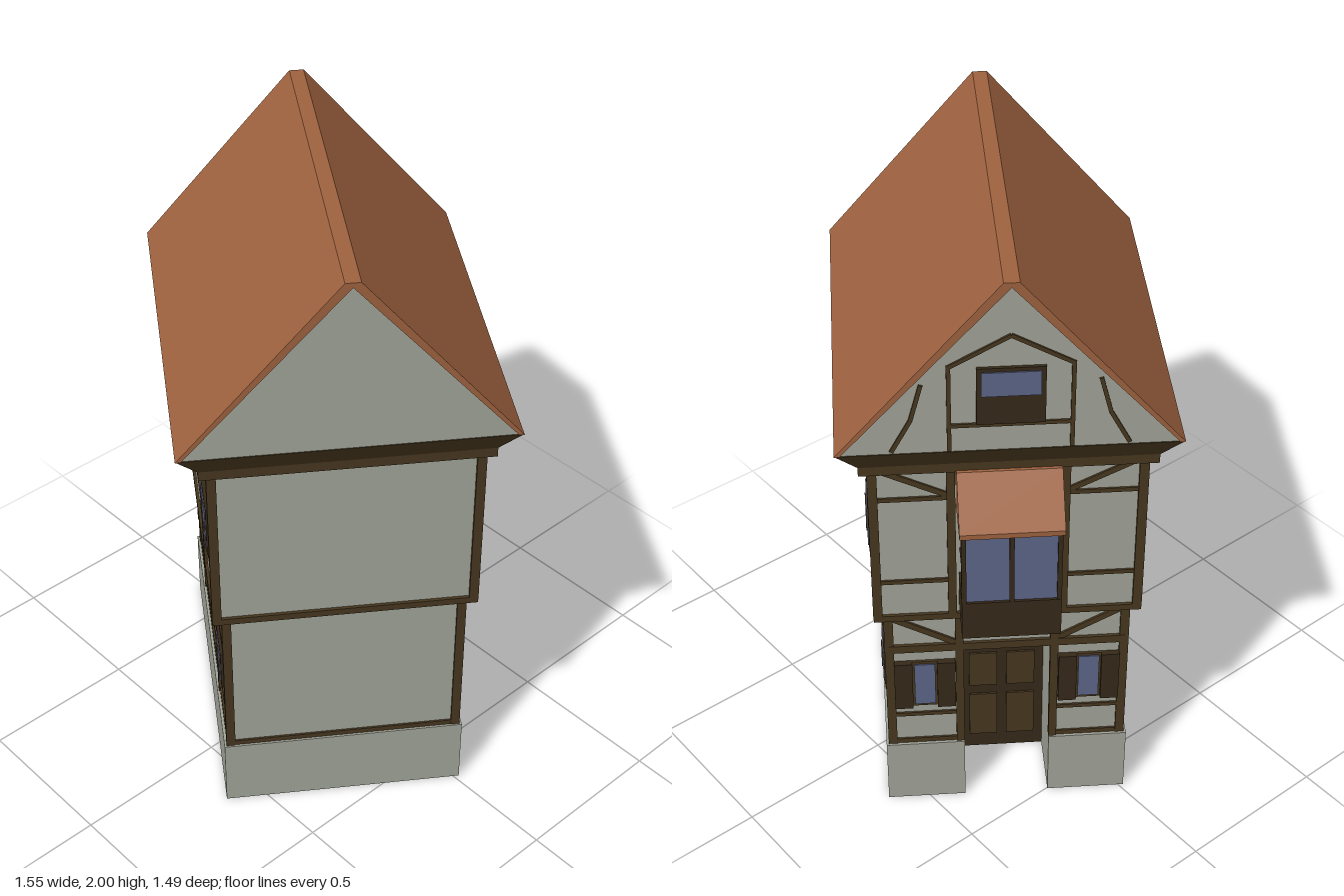
import * as THREE from 'three';

const mat = (name, color, double) => {
  const m = new THREE.MeshStandardMaterial({ color });
  m.name = name;
  if (double) m.side = THREE.DoubleSide;
  return m;
};
const plaster = mat('plaster', 0xa1a498);
const tile = mat('roof tile', 0x9e623f);
const timber = mat('timber', 0x46361f);
const darkWood = mat('dark wood', 0x352818);
const glass = mat('window glass', 0x5d6588);

function add(parent, name, geometry, material) {
  const mesh = new THREE.Mesh(geometry, material);
  mesh.name = name;
  parent.add(mesh);
  return mesh;
}

// Box given by its limits on each axis
function box(parent, name, m, x0, x1, y0, y1, z0, z1) {
  const mesh = add(parent, name, new THREE.BoxGeometry(x1 - x0, y1 - y0, z1 - z0), m);
  mesh.position.set((x0 + x1) / 2, (y0 + y1) / 2, (z0 + z1) / 2);
  return mesh;
}

// Profile in (z, y) extruded along x, centred
function prism(parent, name, m, points, length) {
  const shape = new THREE.Shape(points.map(p => new THREE.Vector2(p[0], p[1])));
  const g = new THREE.ExtrudeGeometry(shape, { depth: length, bevelEnabled: false });
  g.translate(0, 0, -length / 2).rotateY(Math.PI / 2);
  return add(parent, name, g, m);
}

// Straight beam lying on a facade plane, from (u0,v0) to (u1,v1)
function beam(f, name, u0, v0, u1, v1, width = 0.025, proud = 0.01) {
  const len = Math.hypot(u1 - u0, v1 - v0);
  const mesh = add(f, name, new THREE.BoxGeometry(len, width, proud * 2), timber);
  mesh.position.set((u0 + u1) / 2, (v0 + v1) / 2, 0);
  mesh.rotation.z = Math.atan2(v1 - v0, u1 - u0);
  return mesh;
}

function windowUnit(f, u, v, w, h) {
  const g = new THREE.Group();
  g.name = 'window';
  g.position.set(u, v, 0);
  box(g, 'windowFrame', darkWood, -w / 2, w / 2, -h / 2, h / 2, -0.01, 0.012);
  const a = w / 2 - 0.013, b = h / 2 - 0.013;
  box(g, 'windowPane', glass, -a, a, -b, b, 0.008, 0.015);
  box(g, 'mullion', timber, -0.003, 0.003, -b, b, 0.012, 0.018);
  box(g, 'transom', timber, -a, a, -0.003, 0.003, 0.012, 0.018);
  f.add(g);
}

// Group whose +z faces outwards at the given distance
function facade(parent, name, angle, distance) {
  const f = new THREE.Group();
  f.name = name;
  f.rotation.y = angle;
  f.position.set(Math.sin(angle) * distance, 0, Math.cos(angle) * distance);
  parent.add(f);
  return f;
}

export function createModel() {
  const model = new THREE.Group();
  model.name = 'timberHouse';
  const house = new THREE.Group();
  house.name = 'house';
  house.rotation.y = -0.609;
  model.add(house);

  // Plinth and ground floor, leaving a recess for the door
  const recess = -0.29, dz = 0.133;
  box(house, 'plinth', plaster, recess, 0.518, 0, 0.237, -0.38, 0.38);
  box(house, 'groundFloorWall', plaster, recess, 0.505, 0.237, 0.79, -0.365, 0.365);
  box(house, 'wallOverDoor', plaster, -0.505, recess, 0.63, 0.79, -0.365, 0.365);
  for (const s of [-1, 1]) {
    const span = (n, y0, y1, x0, z) =>
      box(house, n, plaster, x0, recess, y0, y1, s < 0 ? -z : dz, s < 0 ? -dz : z);
    span('plinthWing', 0, 0.237, -0.52, 0.38);
    span('groundFloorWing', 0.237, 0.63, -0.505, 0.365);
  }

  // Recessed door with raised panels
  box(house, 'door', darkWood, recess - 0.02, recess, 0, 0.63, -dz, dz);
  for (const [y0, y1] of [[0.06, 0.24], [0.28, 0.42], [0.46, 0.58]]) {
    for (const s of [-1, 1]) {
      box(house, 'doorPanel', timber, recess - 0.026, recess - 0.01, y0, y1, s * 0.06 - 0.045, s * 0.06 + 0.045);
    }
  }

  // Upper floor and corner posts of both floors
  box(house, 'upperFloorWall', plaster, -0.53, 0.53, 0.79, 1.37, -0.392, 0.392);
  box(house, 'storeyBeam', timber, -0.54, 0.54, 0.78, 0.802, -0.401, 0.401);
  box(house, 'sillBeam', timber, recess, 0.511, 0.237, 0.254, -0.371, 0.371);
  for (const s of [-1, 1]) {
    box(house, 'sillBeamWing', timber, -0.511, recess, 0.237, 0.254, s < 0 ? -0.371 : dz, s < 0 ? -dz : 0.371);
    for (const t of [-1, 1]) {
      const post = (n, x, z, y0, y1) =>
        box(house, n, timber, s * x - 0.014, s * x + 0.014, y0, y1, t * z - 0.014, t * z + 0.014);
      post('lowerCornerPost', 0.499, 0.359, 0.237, 0.79);
      post('upperCornerPost', 0.526, 0.388, 0.79, 1.37);
    }
  }

  // Long sides
  for (const side of [1, -1]) {
    const angle = side > 0 ? 0 : Math.PI;
    const low = facade(house, 'longSideLower', angle, 0.365);
    const high = facade(house, 'longSideUpper', angle, 0.392);
    for (const s of [-1, 1]) {
      beam(low, 'post', s * 0.256, 0.24, s * 0.256, 0.785);
      beam(high, 'post', s * 0.265, 0.8, s * 0.265, 1.36);
      windowUnit(low, s * 0.369, 0.495, 0.14, 0.135);
      windowUnit(high, s * 0.387, 1.083, 0.167, 0.165);
    }
    beam(low, 'rail', -0.49, 0.36, 0.49, 0.36, 0.014, 0.006);
    beam(low, 'rail', -0.49, 0.637, 0.49, 0.637, 0.024, 0.008);
    beam(high, 'rail', -0.52, 0.93, 0.52, 0.93, 0.012, 0.005);
    beam(high, 'rail', -0.52, 1.24, 0.52, 1.24, 0.012, 0.005);
    beam(low, 'brace', side * 0.265, 0.655, side * 0.485, 0.765, 0.02, 0.007);
  }

  // Entrance side, lower floor with shuttered windows
  const entry = facade(house, 'entranceLower', -Math.PI / 2, 0.505);
  beam(entry, 'lintel', -0.36, 0.64, 0.36, 0.64, 0.028, 0.01);
  for (const s of [-1, 1]) {
    beam(entry, 'doorPost', s * 0.145, 0.237, s * 0.145, 0.785, 0.025, 0.01);
    beam(entry, 'rail', s * 0.145, 0.36, s * 0.36, 0.36, 0.014, 0.006);
    beam(entry, 'brace', s * 0.155, 0.655, s * 0.35, 0.765, 0.02, 0.007);
    const c = s * 0.253;
    box(entry, 'windowFrame', timber, c - 0.04, c + 0.04, 0.4, 0.585, -0.005, 0.008);
    box(entry, 'windowPane', glass, c - 0.032, c + 0.032, 0.41, 0.575, 0.004, 0.012);
    for (const t of [-1, 1]) {
      const k = c + t * 0.066;
      box(entry, 'shutter', darkWood, k - 0.028, k + 0.028, 0.4, 0.585, -0.005, 0.02);
    }
  }

  // Entrance side, upper floor framing
  const upper = facade(house, 'entranceUpper', -Math.PI / 2, 0.53);
  for (const s of [-1, 1]) {
    beam(upper, 'post', s * 0.165, 0.8, s * 0.165, 1.36);
    beam(upper, 'rail', s * 0.165, 0.93, s * 0.385, 0.93, 0.014, 0.006);
    beam(upper, 'rail', s * 0.165, 1.24, s * 0.385, 1.24, 0.014, 0.006);
    beam(upper, 'brace', s * 0.175, 1.25, s * 0.375, 1.35, 0.018, 0.006);
  }

  // Bay window: wooden apron, glazing, bars and a small lean-to roof
  const bay = new THREE.Group();
  bay.name = 'bayWindow';
  house.add(bay);
  box(bay, 'bayApron', darkWood, -0.672, -0.53, 0.82, 0.955, -0.145, 0.145);
  box(bay, 'bayGlazing', glass, -0.664, -0.53, 0.955, 1.225, -0.138, 0.138);
  for (const z of [-0.138, 0, 0.138]) {
    box(bay, 'bayPost', darkWood, -0.671, -0.656, 0.955, 1.225, z - 0.007, z + 0.007);
  }
  for (const y of [1.045, 1.135]) {
    for (const s of [-1, 1]) {
      box(bay, 'bayBar', darkWood, -0.66, -0.53, y - 0.004, y + 0.004, s * 0.139 - 0.003, s * 0.139 + 0.003);
    }
  }
  const lean = new THREE.Shape([[-0.685, 1.205], [-0.53, 1.205], [-0.53, 1.36], [-0.575, 1.36], [-0.685, 1.222]]
    .map(p => new THREE.Vector2(p[0], p[1])));
  add(bay, 'bayRoof', new THREE.ExtrudeGeometry(lean, { depth: 0.3, bevelEnabled: false }), tile).position.z = -0.15;

  // Cornice: a flat band with a flared moulding above
  box(house, 'corniceBand', timber, -0.565, 0.565, 1.355, 1.386, -0.425, 0.425);
  const flare = new THREE.BoxGeometry(1, 0.07, 1);
  const p = flare.attributes.position;
  for (let i = 0; i < p.count; i++) {
    const top = p.getY(i) > 0;
    p.setX(i, Math.sign(p.getX(i)) * (top ? 0.603 : 0.565));
    p.setZ(i, Math.sign(p.getZ(i)) * (top ? 0.486 : 0.425));
  }
  const flareFlat = flare.toNonIndexed();
  flareFlat.computeVertexNormals();
  add(house, 'corniceFlare', flareFlat, timber).position.y = 1.421;

  // Gable walls and roof
  prism(house, 'gableWall', plaster, [[-0.477, 1.456], [0.477, 1.456], [0.01, 1.99], [-0.01, 1.99]], 1.2);
  prism(house, 'roof', tile, [[-0.488, 1.456], [-0.473, 1.456], [0, 1.985], [0.473, 1.456],
    [0.488, 1.456], [0.022, 2], [-0.022, 2]], 1.21);

  // Timber framing and window of the entrance gable
  const gable = facade(house, 'entranceGable', -Math.PI / 2, 0.6);
  const thin = [0.012, 0.006];
  for (const s of [-1, 1]) {
    beam(gable, 'gablePost', s * 0.17, 1.46, s * 0.17, 1.745, ...thin);
    beam(gable, 'gableArch', s * 0.17, 1.74, 0, 1.835, ...thin);
    beam(gable, 'gableBrace', s * 0.33, 1.465, s * 0.275, 1.57, ...thin);
    beam(gable, 'gableBrace', s * 0.275, 1.57, s * 0.245, 1.685, ...thin);
  }
  beam(gable, 'gableRail', -0.17, 1.545, 0.17, 1.545, ...thin);
  box(gable, 'gableWindowFrame', darkWood, -0.095, 0.095, 1.55, 1.735, -0.005, 0.01);
  box(gable, 'gableWindowPane', glass, -0.082, 0.082, 1.645, 1.723, 0.006, 0.014);
  return model;
}
